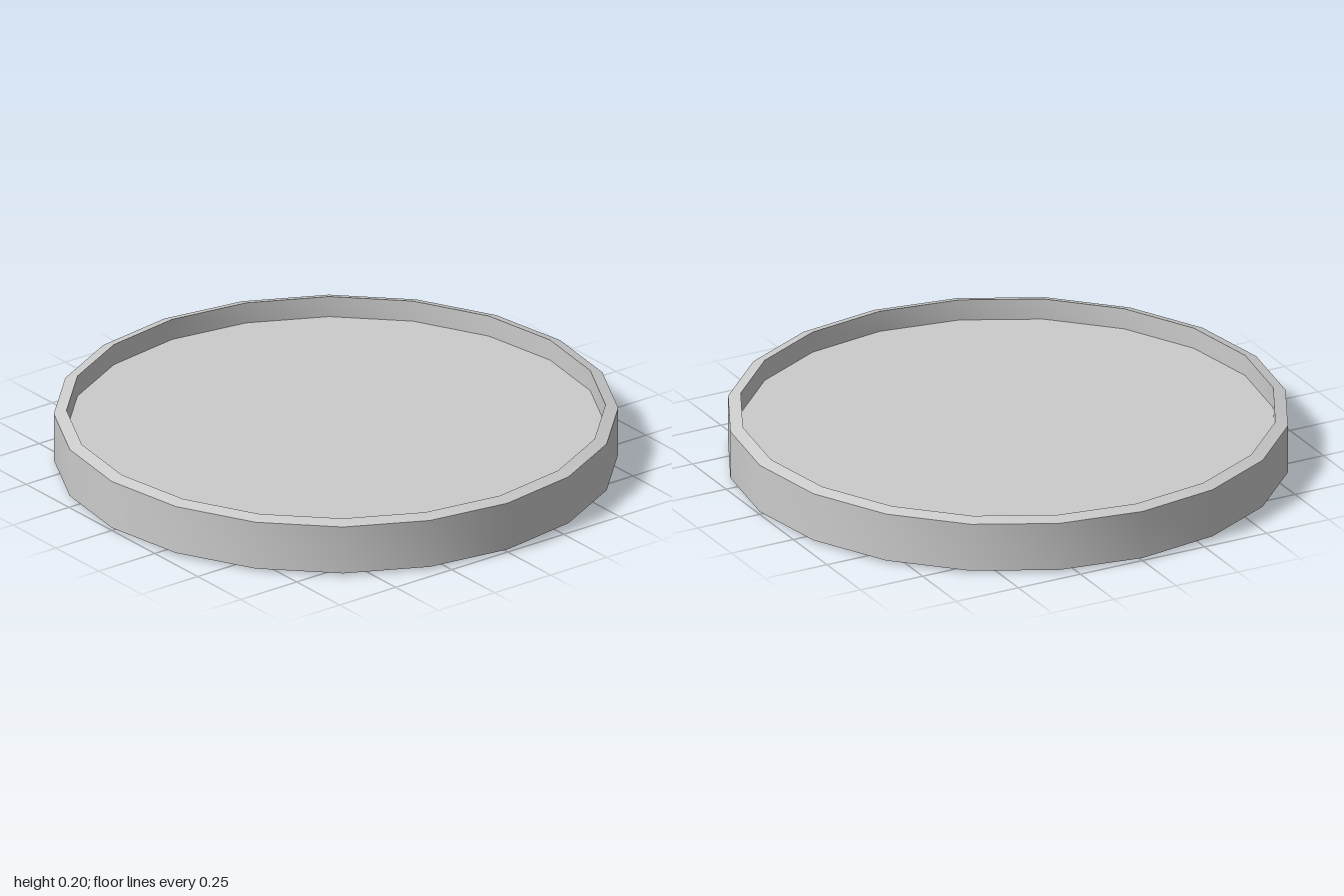
import * as THREE from 'three';
import { toCreasedNormals } from 'three/addons/utils/BufferGeometryUtils.js';

const SIDES = 20;
const INNER = 0.955;
const FLOOR_Y = 0.125;

export function createModel() {
  const group = new THREE.Group();
  group.name = 'shallowTray';
  const material = new THREE.MeshStandardMaterial({ color: 0xcccccc });

  const add = (name, geometry) => {
    const mesh = new THREE.Mesh(geometry, material);
    mesh.name = name;
    group.add(mesh);
    return mesh;
  };

  // Wall: softly bevelled underside, outer face, sloping rim, inner face
  const profile = [
    [INNER, 0], [1, 0.01], [1, 0.19], [INNER, 0.203], [INNER, FLOOR_Y],
  ].map(([r, y]) => new THREE.Vector2(r, y));
  add('wall', toCreasedNormals(new THREE.LatheGeometry(profile, SIDES), Math.PI / 6));

  // Recessed floor facing up, and base facing down
  const disc = () => new THREE.CircleGeometry(INNER, SIDES);
  add('floor', disc().rotateX(-Math.PI / 2)).position.y = FLOOR_Y;
  add('base', disc().rotateX(Math.PI / 2));

  return group;
}
